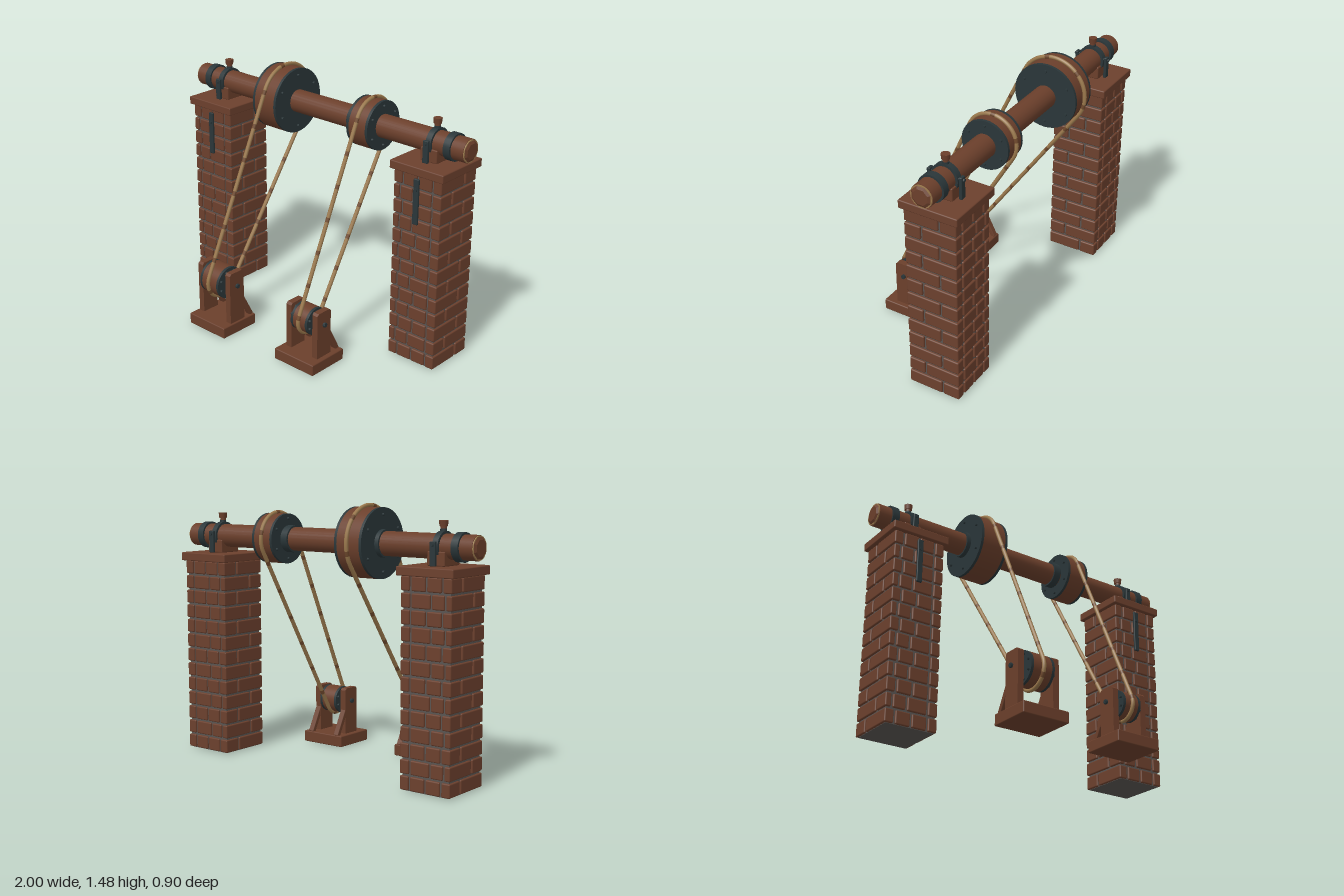
import * as THREE from 'three';
import { RoundedBoxGeometry } from 'three/addons/geometries/RoundedBoxGeometry.js';

const mat = (name, color, side = THREE.FrontSide) => {
  const m = new THREE.MeshStandardMaterial({ color, side });
  m.name = name;
  return m;
};

export function createModel() {
  const wood = mat('wood', 0x6b3f2b);
  const brick = mat('brick', 0x6c402d);
  const iron = mat('iron', 0x2a3639);
  const mortar = mat('mortar', 0x595451);
  const rope = mat('rope', 0x9a784c);
  const wornRope = mat('wornRope', 0x704a2d);

  const root = new THREE.Group();
  root.name = 'beltDrive';
  const AY = 1.265, AZ = -0.24; // main shaft axis

  const add = (parent, name, geo, material, x = 0, y = 0, z = 0) => {
    const m = new THREE.Mesh(geo, material);
    m.name = name;
    m.position.set(x, y, z);
    parent.add(m);
    return m;
  };
  const group = (name, x = 0, y = 0, z = 0, parent = root) => {
    const g = new THREE.Group();
    g.name = name;
    g.position.set(x, y, z);
    parent.add(g);
    return g;
  };
  const block = (w, h, d, r = 0.006) => new RoundedBoxGeometry(w, h, d, 1, r);
  // Cylinder lying along x
  const rod = (r, len, sides = 32, r2 = r) =>
    new THREE.CylinderGeometry(r2, r, len, sides).rotateZ(-Math.PI / 2);

  // Brick pillar: mortar core, staggered courses, cap stone and iron strip
  function pillar(x) {
    const g = group('pillar', x, 0, AZ);
    const H = 0.31 / 2, courses = 13, step = 1.125 / courses, gap = 0.011;
    add(g, 'mortarCore', new THREE.BoxGeometry(0.288, 1.12, 0.288), mortar, 0, 0.563, 0);
    const rowsX = [[-H, -0.097, 0, 0.097, H], [-H, -0.115, -0.03, 0.095, H]];
    const splitZ = [-0.053, 0.053];
    for (let i = 0; i < courses; i++) {
      const y = (i + 0.5) * step, xs = rowsX[i % 2], zs = [-H, splitZ[i % 2], H];
      for (let a = 0; a < 4; a++) {
        for (let b = 0; b < 2; b++) {
          const w = xs[a + 1] - xs[a] - gap, d = zs[b + 1] - zs[b] - gap;
          const ex = a === 0 ? -gap / 2 : a === 3 ? gap / 2 : 0;
          add(g, 'brick', block(w + Math.abs(ex), step - gap, d + gap / 2, 0.007), brick,
            (xs[a] + xs[a + 1]) / 2 + ex / 2, y, (zs[b] + zs[b + 1]) / 2 + (b ? 1 : -1) * gap / 4);
        }
      }
    }
    add(g, 'capStone', block(0.348, 0.048, 0.348), brick, 0, 1.144, 0);
    add(g, 'frontStrip', block(0.034, 0.26, 0.014, 0.004), iron, 0, 0.97, 0.161);
    add(g, 'stripBolt', new THREE.CylinderGeometry(0.01, 0.01, 0.016, 8).rotateX(Math.PI / 2), iron, 0, 1.04, 0.168);

    // Bearing: wooden saddle, iron strap and top plug
    const b = group('bearing', 0, 0, 0, g);
    add(b, 'saddle', block(0.108, 0.075, 0.14), wood, 0, 1.205, 0);
    add(b, 'strap', rod(0.08, 0.034, 24), iron, 0, AY, 0);
    for (const s of [-1, 1]) {
      add(b, 'strapLeg', block(0.034, 0.125, 0.018, 0.004), iron, 0, 1.232, s * 0.093);
      add(b, 'strapBolt', new THREE.CylinderGeometry(0.009, 0.009, 0.04, 8).rotateX(Math.PI / 2), iron, 0, 1.277, s * 0.09);
    }
    add(b, 'plugCollar', new THREE.CylinderGeometry(0.018, 0.018, 0.02, 10), iron, 0, 1.345, 0);
    add(b, 'plugStem', new THREE.CylinderGeometry(0.016, 0.016, 0.03, 8), wood, 0, 1.365, 0);
    add(b, 'plugHead', new THREE.CylinderGeometry(0.025, 0.022, 0.03, 8), wood, 0, 1.382, 0);
  }

  // Main shaft with pale end rims, faceted tips and iron bands
  const shaft = group('shaft', 0, AY, AZ);
  add(shaft, 'shaftBody', rod(0.066, 1.972, 24), wood);
  for (const s of [-1, 1]) {
    pillar(s * 0.775);
    const end = group('shaftEnd', 0, 0, 0, shaft);
    if (s < 0) end.rotation.y = Math.PI;
    add(end, 'endRim', rod(0.063, 0.008, 24), rope, 0.988, 0, 0);
    const tip = rod(0.062, 0.009, 8, 0.045).rotateX(Math.PI / 8).toNonIndexed();
    tip.computeVertexNormals();
    add(end, 'shaftTip', tip, wood, 0.9955, 0, 0);
    add(shaft, 'endBand', rod(0.077, 0.042, 24), iron, s * 0.888, 0, 0);
  }

  // Wheel: wooden drum, iron flanges and a ring of bolts on both faces
  function wheel(name, x, y, z, r, halfWidth, bolts) {
    const g = group(name, x, y, z);
    const t = 0.016;
    add(g, 'drum', rod(r, (halfWidth - t) * 2, 40), wood);
    for (const s of [-1, 1]) {
      add(g, 'flange', rod(r, t, 40), iron, s * (halfWidth - t / 2), 0, 0);
      for (let i = 0; i < bolts; i++) {
        const a = (i + 0.5) / bolts * Math.PI * 2;
        add(g, 'flangeBolt', rod(0.008, 0.016, 8), iron,
          s * (halfWidth + 0.004), Math.sin(a) * r * 0.8, Math.cos(a) * r * 0.8);
      }
    }
  }

  // Rope loop running around two wheels in the y-z plane
  function belt(x, top, low) {
    const dz = top.z - low.z, dy = top.y - low.y;
    const th = Math.atan2(dy, dz), phi = Math.acos((low.r - top.r) / Math.hypot(dz, dy));
    const pts = [];
    const arc = (c, a0, a1) => {
      for (let i = 0; i <= 24; i++) {
        const a = a0 + (a1 - a0) * i / 24;
        pts.push(new THREE.Vector3(x, c.y + c.r * Math.sin(a), c.z + c.r * Math.cos(a)));
      }
    };
    const straightTo = (c, a) => {
      const p = pts[pts.length - 1].clone();
      const q = new THREE.Vector3(x, c.y + c.r * Math.sin(a), c.z + c.r * Math.cos(a));
      for (let i = 1; i < 16; i++) pts.push(p.clone().lerp(q, i / 16));
    };
    arc(top, th - phi, th + phi);
    straightTo(low, th + phi);
    arc(low, th + phi, th + 2 * Math.PI - phi);
    straightTo(top, th - phi);
    const curve = new THREE.CatmullRomCurve3(pts, true, 'centripetal');
    curve.arcLengthDivisions = 500;
    const segs = 240, sides = 8, run = 15, worn = 2;
    const geo = new THREE.TubeGeometry(curve, segs, 0.0115, sides, true);
    // Short worn patches at regular intervals
    for (let i = 0; i < segs; i += run) {
      geo.addGroup(i * sides * 6, (run - worn) * sides * 6, 0);
      geo.addGroup((i + run - worn) * sides * 6, worn * sides * 6, 1);
    }
    add(root, 'ropeBelt', geo, [rope, wornRope]);
  }

  // Floor stand: base, two pointed posts, rear braces and an axle
  function stand(x, z, axleY, postX, postTop) {
    const g = group('stand', x, 0, z);
    add(g, 'base', block(0.286, 0.066, 0.257), wood, 0, 0.033, -0.004);
    const h = postTop - 0.06;
    const shape = new THREE.Shape([[-0.055, 0], [0.055, 0], [0.055, h - 0.012], [0.043, h],
      [-0.043, h], [-0.055, h - 0.012]].map(p => new THREE.Vector2(...p)));
    for (const s of [-1, 1]) {
      const post = new THREE.ExtrudeGeometry(shape, { depth: 0.037, bevelEnabled: false })
        .translate(0, 0, -0.0185).rotateY(Math.PI / 2);
      add(g, 'post', post, wood, s * postX, 0.06, 0);
      const brace = add(g, 'rearBrace', block(0.034, 0.165, 0.026, 0.004), wood, s * postX, 0.135, -0.08);
      brace.rotation.x = 0.48;
      add(g, 'axleNut', rod(0.014, 0.014, 6), iron, s * (postX + 0.024), axleY, 0);
    }
    add(g, 'axle', rod(0.01, postX * 2 + 0.065, 10), iron, 0, axleY, 0);
  }

  const drives = [
    { x: -0.303, r: 0.19, hw: 0.089, ropeR: 0.199, collarX: -0.402, collarW: 0.03,
      z: 0.323, y: 0.295, lr: 0.096, lhw: 0.074, lowRope: 0.103, postX: 0.112, postTop: 0.382 },
    { x: 0.343, r: 0.14, hw: 0.073, ropeR: 0.146, collarX: 0.238, collarW: 0.046,
      z: 0.279, y: 0.262, lr: 0.08, lhw: 0.06, lowRope: 0.085, postX: 0.096, postTop: 0.342 },
  ];
  for (const d of drives) {
    wheel('shaftWheel', d.x, AY, AZ, d.r, d.hw, 6);
    add(root, 'wheelCollar', rod(0.076, d.collarW, 24), iron, d.collarX, AY, AZ);
    wheel('standWheel', d.x, d.y, d.z, d.lr, d.lhw, 8);
    stand(d.x, d.z, d.y, d.postX, d.postTop);
    belt(d.x, { y: AY, z: AZ, r: d.ropeR }, { y: d.y, z: d.z, r: d.lowRope });
  }
  return root;
}
